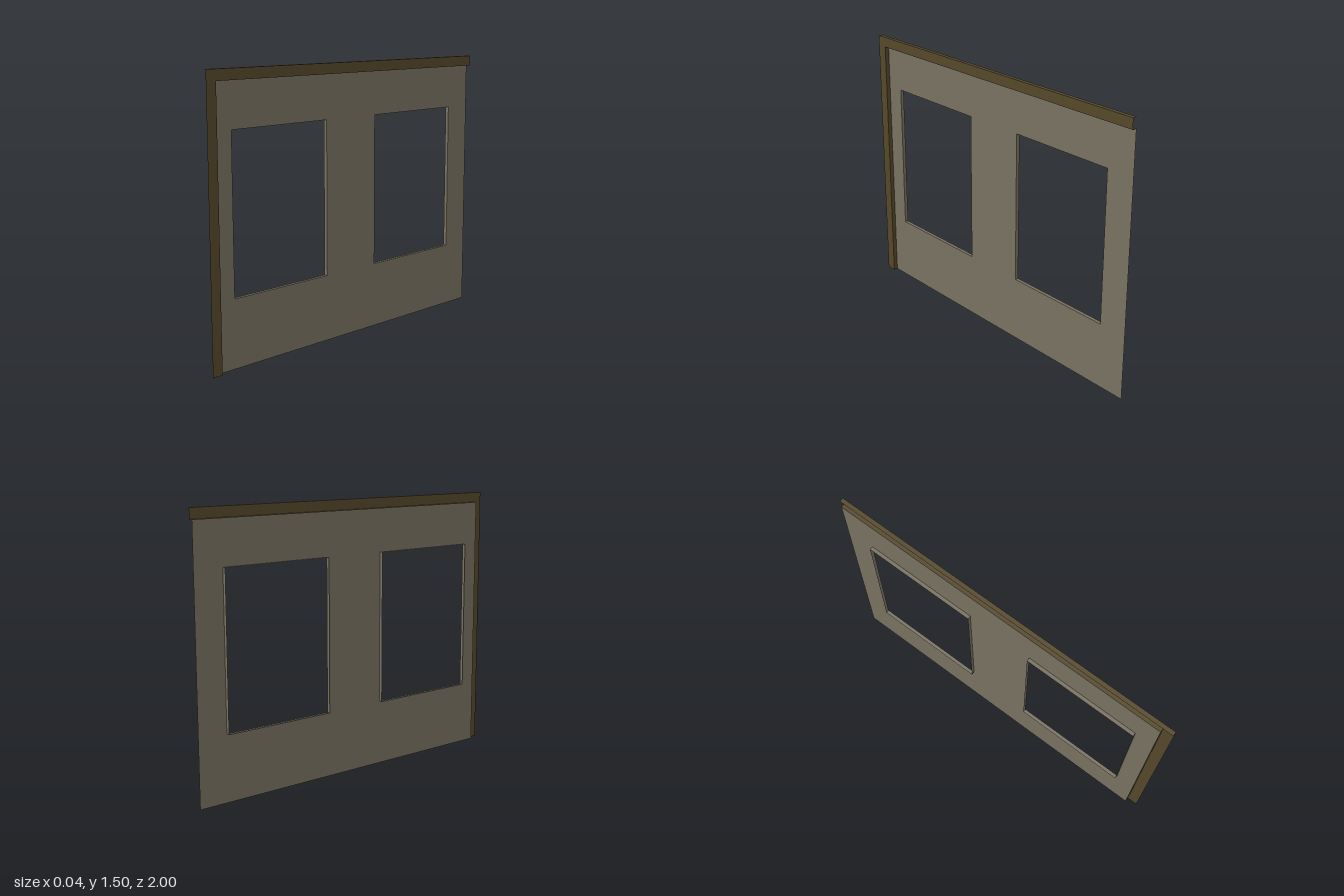
import * as THREE from 'three';

const BACK = -0.022, FACE = -0.002, FRONT = 0.022; // x of sleeve rims, wall sheet, border sheet
const END = 0.94, EAVE = 1.443, TOP = 1.5;

const wallMat = new THREE.MeshStandardMaterial({ color: 0x787161, side: THREE.DoubleSide });
const trimMat = new THREE.MeshStandardMaterial({ color: 0x55482a, side: THREE.DoubleSide });

function add(group, name, geometry, material) {
  const mesh = new THREE.Mesh(geometry, material);
  mesh.name = name;
  group.add(mesh);
}

// Flat sheet facing +x; outline and holes are lists of [z, y]
function sheet(outline, holes, x) {
  const toPoints = (list) => list.map(([z, y]) => new THREE.Vector2(-z, y));
  const shape = new THREE.Shape(toPoints(outline));
  for (const hole of holes) shape.holes.push(new THREE.Path(toPoints(hole)));
  return new THREE.ShapeGeometry(shape).rotateY(Math.PI / 2).translate(x, 0, 0);
}

// Band swept across x along a path of [z, y], flat on each segment
function band(path, x0, x1) {
  const pos = [];
  for (let i = 0; i + 1 < path.length; i++) {
    const [za, ya] = path[i], [zb, yb] = path[i + 1];
    pos.push(x0, ya, za, x1, ya, za, x1, yb, zb, x0, ya, za, x1, yb, zb, x0, yb, zb);
  }
  const geometry = new THREE.BufferGeometry();
  geometry.setAttribute('position', new THREE.Float32BufferAttribute(pos, 3));
  geometry.computeVertexNormals();
  return geometry;
}

const rect = (z0, z1, y0, y1) => [[z0, y0], [z1, y0], [z1, y1], [z0, y1]];

export function createModel() {
  const group = new THREE.Group();
  group.name = 'wallPanel';

  // Wall sheet with two window openings
  const windows = [rect(0.187, 0.833, 0.362, 1.203), rect(-0.833, -0.187, 0.362, 1.203)];
  add(group, 'wall', sheet(rect(-1, END, 0, EAVE), windows, FACE), wallMat);

  // Window reveals behind the openings
  windows.forEach((w, i) => {
    add(group, i ? 'rearWindowReveal' : 'frontWindowReveal', band([...w, w[0]], FACE, BACK), wallMat);
  });

  // Raised border along the top and the front end
  const border = [[END, 0], [1, 0], [1, TOP], [-1, TOP], [-1, EAVE], [END, EAVE]];
  add(group, 'border', sheet(border, [], FRONT), trimMat);

  // Step between wall and border, and the lip along the top
  add(group, 'borderStep', band([[END, 0], [END, EAVE], [-1, EAVE]], FACE, FRONT), trimMat);
  add(group, 'topLip', band([[1, TOP], [-1, TOP]], FACE, FRONT), trimMat);

  return group;
}
